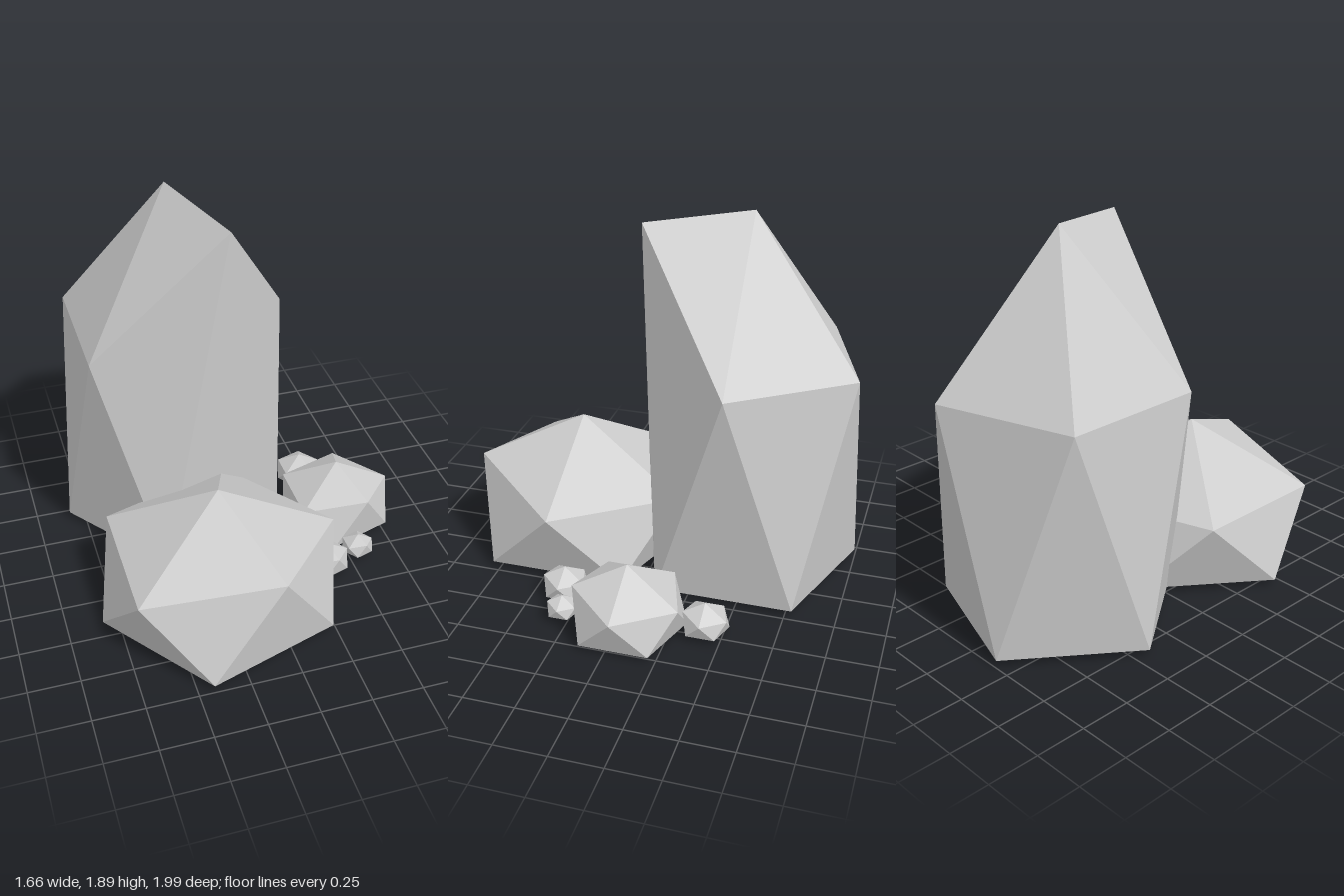
import * as THREE from 'three';

const material = new THREE.MeshStandardMaterial({ color: 0xcccccc, flatShading: true });

// Faceted rock: two staggered five-sided rings between a crown and an underside point.
// The front corner of the upper ring is pulled up and slightly inward.
function rockGeometry({ radius, base, shoulder, crown, front, under }) {
  const point = (step, y, scale = 1) => {
    const a = step * Math.PI / 5, r = radius * 0.8944 * scale;
    return [Math.cos(a) * r, y, Math.sin(a) * r];
  };
  const upper = [], lower = [];
  for (let k = 0; k < 5; k++) {
    upper.push(point(2 * k, k === 1 ? front : shoulder));
    lower.push(point(2 * k + 1, base));
  }
  upper[1][2] *= 0.895;

  const top = [0, crown, 0], bottom = [0, under, 0];
  const corners = [];
  for (let k = 0; k < 5; k++) {
    const n = (k + 1) % 5;
    corners.push(
      top, upper[n], upper[k],
      upper[k], upper[n], lower[k],
      lower[k], upper[n], lower[n],
      bottom, lower[k], lower[n]
    );
  }
  const geometry = new THREE.BufferGeometry();
  geometry.setAttribute('position', new THREE.Float32BufferAttribute(corners.flat(), 3));
  geometry.computeVertexNormals();
  return geometry;
}

// Low boulder proportions, scaled with the radius
function boulder(radius, base, drop = 0) {
  const s = radius / 0.654;
  return {
    radius, base, under: base - drop,
    shoulder: base + 0.358 * s, front: base + 0.462 * s, crown: base + 0.674 * s
  };
}

export function createModel() {
  const group = new THREE.Group();
  const add = (name, x, z, shape) => {
    const mesh = new THREE.Mesh(rockGeometry(shape), material);
    mesh.name = name;
    mesh.position.set(x, 0, z);
    group.add(mesh);
  };

  // Tall standing stone and the wide boulder before it
  add('tallRock', -0.243, -0.439,
    { radius: 0.657, base: 0.037, under: 0.037, shoulder: 1.163, front: 1.84, crown: 1.892 });
  add('frontBoulder', -0.243, 0.437, boulder(0.657, 0.037));

  // Medium boulder and pebbles at the side
  add('sideBoulder', 0.54, -0.045, boulder(0.324, 0.026, 0.025));
  add('backPebble', 0.465, -0.41, boulder(0.134, 0.028, 0.009));
  add('frontPebble', 0.353, 0.34, boulder(0.13, 0.028, 0.009));
  add('smallPebble', 0.548, 0.285, boulder(0.089, 0.036, 0.006));
  return group;
}
